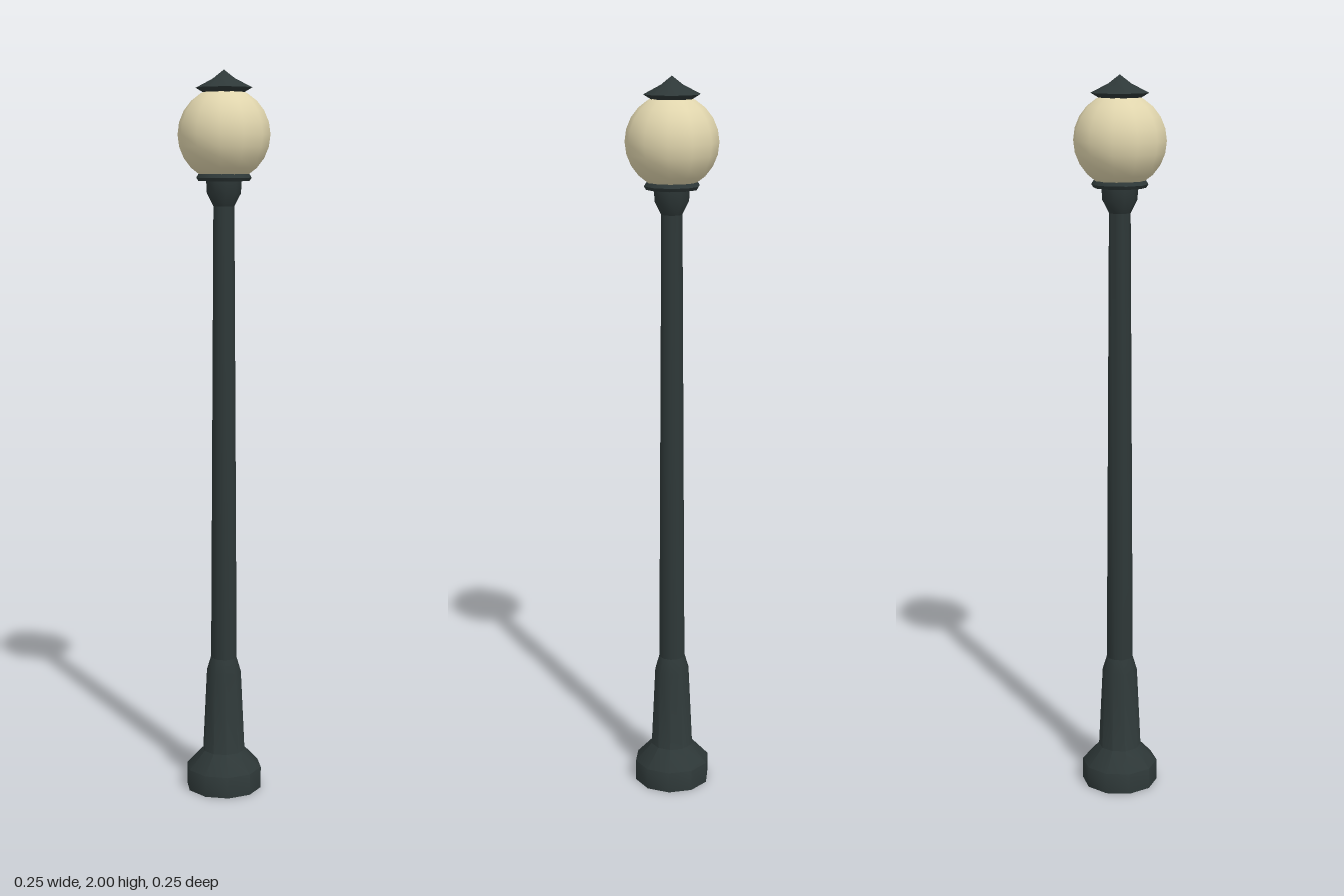
import * as THREE from 'three';
import { toCreasedNormals } from 'three/addons/utils/BufferGeometryUtils.js';

const SIDES = 10;

export function createModel() {
  const model = new THREE.Group();
  model.name = 'streetLamp';

  const iron = new THREE.MeshStandardMaterial({ color: 0x2e3838 });
  iron.name = 'dark green iron';
  const glass = new THREE.MeshStandardMaterial({ color: 0xe0d5ad });
  glass.name = 'cream glass';

  // Turned ten-sided part; profile is [radius, height] from bottom to top
  function turned(name, profile) {
    const points = profile.map(([r, y]) => new THREE.Vector2(r, y));
    const lathe = new THREE.LatheGeometry(points, SIDES, Math.PI / 2);
    const mesh = new THREE.Mesh(toCreasedNormals(lathe, 0.8), iron);
    mesh.name = name;
    model.add(mesh);
  }

  // Foot with sloped shoulder and tapered sleeve
  turned('base', [
    [0, 0], [0.107, 0], [0.107, 0.06], [0.06, 0.11], [0.049, 0.34], [0.037, 0.38], [0, 0.38],
  ]);

  // Slim tapering shaft
  turned('post', [[0.037, 0.37], [0.029, 1.65]]);

  // Flared cup under the globe
  turned('neck', [[0.029, 1.64], [0.047, 1.675], [0.049, 1.71], [0, 1.715]]);

  // Open ring that holds the globe
  turned('collar', [
    [0.055, 1.707], [0.07, 1.707], [0.076, 1.716], [0.07, 1.726], [0.055, 1.726], [0.055, 1.707],
  ]);

  // Smooth lamp globe
  const globe = new THREE.Mesh(new THREE.SphereGeometry(0.125, 12, 12), glass);
  globe.name = 'globe';
  globe.position.y = 1.83;
  model.add(globe);

  // Pointed cap with undercut rim
  turned('cap', [
    [0, 1.94], [0.055, 1.94], [0.077, 1.953], [0.03, 1.977], [0, 2],
  ]);

  return model;
}
